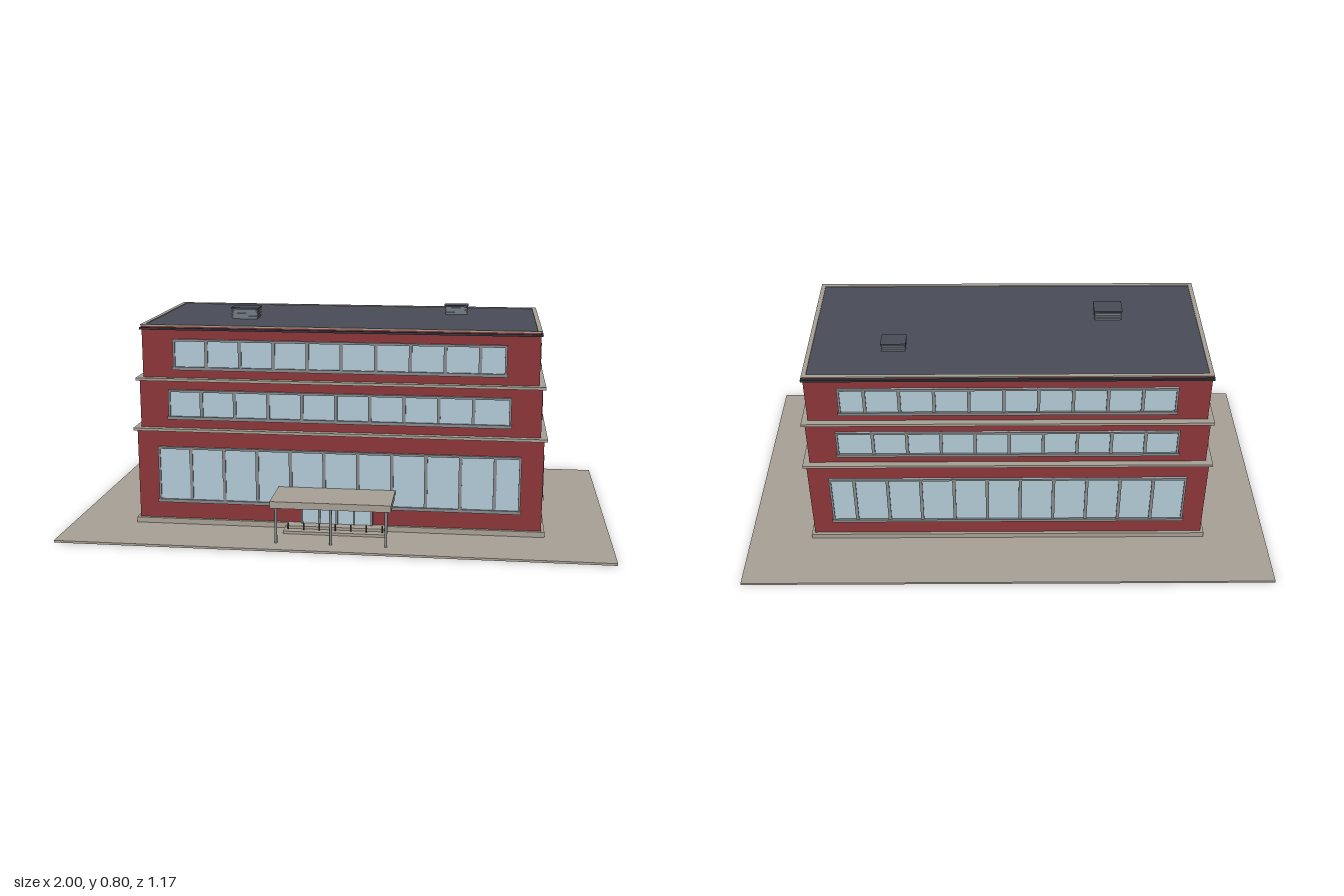
import * as THREE from 'three';

const material = (name, color) => {
  const m = new THREE.MeshStandardMaterial({ color });
  m.name = name;
  return m;
};

export function createModel() {
  const brick = material('brick red', 0x8a3538);
  const stone = material('warm stone', 0xa69f94);
  const slate = material('roof slate', 0x484c57);
  const glass = material('pale glass', 0xb0c8d4);
  const frame = material('frame grey', 0x85888a);
  const dark = material('dark metal', 0x30353b);
  const metal = material('vent grey', 0x737a82);

  const model = new THREE.Group();
  model.name = 'officeBuilding';

  // Box given by its min and max on each axis
  const box = (parent, name, mat, x0, x1, y0, y1, z0, z1) => {
    const mesh = new THREE.Mesh(new THREE.BoxGeometry(x1 - x0, y1 - y0, z1 - z0), mat);
    mesh.position.set((x0 + x1) / 2, (y0 + y1) / 2, (z0 + z1) / 2);
    mesh.name = name;
    parent.add(mesh);
    return mesh;
  };
  // Box centred on x and z
  const slab = (name, mat, hx, hz, y0, y1) => box(model, name, mat, -hx, hx, y0, y1, -hz, hz);

  // Rectangular ring lying flat, for the roof edge
  const ring = (name, mat, hx, hz, width, y0, y1) => {
    const g = new THREE.Group();
    g.name = name;
    for (const s of [-1, 1]) {
      const a = s * hz, b = s * (hz - width), c = s * hx, d = s * (hx - width);
      box(g, name + 'Long', mat, -hx, hx, y0, y1, Math.min(a, b), Math.max(a, b));
      box(g, name + 'Short', mat, Math.min(c, d), Math.max(c, d), y0, y1, -hz + width, hz - width);
    }
    model.add(g);
  };

  // Window band on the local xy plane facing +z; mullions stepped from one end
  const windowBand = (half, y0, y1, dir, pitch = 0.125) => {
    const g = new THREE.Group();
    g.name = 'windowBand';
    const t = 0.008, out = 0.009;
    box(g, 'glazing', glass, -half, half, y0, y1, 0, 0.004);
    box(g, 'headFrame', frame, -half, half, y1 - t, y1, 0, out);
    box(g, 'sill', frame, -half - 0.004, half + 0.004, y0 - 0.004, y0 + t, 0, out + 0.003);
    for (const s of [-1, 1]) {
      const x = s * (half - t / 2);
      box(g, 'jamb', frame, x - t / 2, x + t / 2, y0, y1, 0, out);
    }
    for (let d = pitch; d < 2 * half - 0.03; d += pitch) {
      const x = dir * (-half + d);
      box(g, 'mullion', frame, x - 0.006, x + 0.006, y0, y1, 0, out);
    }
    model.add(g);
    return g;
  };

  // Paving and plinth
  slab('paving', stone, 1, 0.585, 0, 0.008);
  slab('plinth', stone, 0.762, 0.345, 0.008, 0.028);

  // Storeys: half sizes, heights, then window half widths and heights
  const storeys = [
    { hx: 0.75, hz: 0.333, y0: 0.028, y1: 0.365, fw: 0.672, fy: [0.095, 0.305], sw: 0.21, sy: [0.112, 0.28] },
    { hx: 0.738, hz: 0.321, y0: 0.375, y1: 0.553, fw: 0.63, fy: [0.412, 0.52], sw: 0.19, sy: [0.418, 0.508] },
    { hx: 0.727, hz: 0.309, y0: 0.563, y1: 0.741, fw: 0.61, fy: [0.597, 0.708], sw: 0.17, sy: [0.605, 0.695] },
  ];
  storeys.forEach((s, i) => {
    slab('storeyWalls', brick, s.hx, s.hz, s.y0, s.y1);
    if (i < 2) slab('cornice', stone, s.hx + 0.012, s.hz + 0.012, s.y1, s.y1 + 0.01);
    windowBand(s.fw, ...s.fy, 1).position.z = s.hz;
    const back = windowBand(s.fw, ...s.fy, -1);
    back.position.z = -s.hz;
    back.rotation.y = Math.PI;
    for (const side of [-1, 1]) {
      const band = windowBand(s.sw, ...s.sy, side);
      band.position.x = side * s.hx;
      band.rotation.y = side * Math.PI / 2;
    }
  });

  // Roof edge and roof
  slab('eavesTrim', dark, 0.734, 0.317, 0.741, 0.749);
  ring('parapet', brick, 0.727, 0.309, 0.012, 0.749, 0.755);
  ring('coping', stone, 0.731, 0.313, 0.016, 0.755, 0.76);
  slab('roofSurface', slate, 0.716, 0.298, 0.749, 0.757);

  // Louvred roof vents
  const vent = (x, z, hx, hz, top) => {
    const g = new THREE.Group();
    g.name = 'roofVent';
    const y0 = 0.757, n = 4, step = (top - y0) / n;
    box(g, 'ventCore', metal, -hx + 0.006, hx - 0.006, y0, top - 0.004, -hz + 0.006, hz - 0.006);
    for (let i = 1; i < n; i++) {
      const y = y0 + i * step;
      box(g, 'louvre', metal, -hx + 0.002, hx - 0.002, y - 0.005, y, -hz + 0.002, hz - 0.002);
    }
    box(g, 'ventCap', slate, -hx, hx, top - 0.006, top, -hz, hz);
    g.position.set(x, 0, z);
    model.add(g);
  };
  vent(-0.38, 0.082, 0.053, 0.036, 0.8);
  vent(0.415, -0.125, 0.046, 0.032, 0.793);

  // Entrance canopy and posts
  const entrance = new THREE.Group();
  entrance.name = 'entrance';
  model.add(entrance);
  box(entrance, 'canopy', stone, -0.217, 0.217, 0.141, 0.166, 0.342, 0.528);
  for (const x of [-0.198, 0, 0.198]) {
    const post = new THREE.Mesh(new THREE.CylinderGeometry(0.005, 0.005, 0.133, 10), frame);
    post.position.set(x, 0.0745, 0.513);
    post.name = 'canopyPost';
    entrance.add(post);
  }

  // Glazed doors
  box(entrance, 'doorGlass', glass, -0.13, 0.13, 0.028, 0.13, 0.334, 0.34);
  box(entrance, 'doorHead', frame, -0.135, 0.135, 0.126, 0.134, 0.334, 0.346);
  for (let i = 0; i <= 4; i++) {
    const x = -0.13 + i * 0.065;
    box(entrance, 'doorFrame', frame, x - 0.004, x + 0.004, 0.028, 0.13, 0.334, 0.346);
  }

  // Steps with a row of short dark posts
  box(entrance, 'lowerStep', stone, -0.19, 0.19, 0.008, 0.018, 0.34, 0.413);
  box(entrance, 'upperStep', stone, -0.18, 0.18, 0.018, 0.028, 0.34, 0.38);
  for (let i = 0; i < 7; i++) {
    const x = -0.174 + i * 0.058;
    box(entrance, 'stepPost', dark, x - 0.0025, x + 0.0025, 0.018, 0.043, 0.387, 0.391);
  }

  return model;
}
